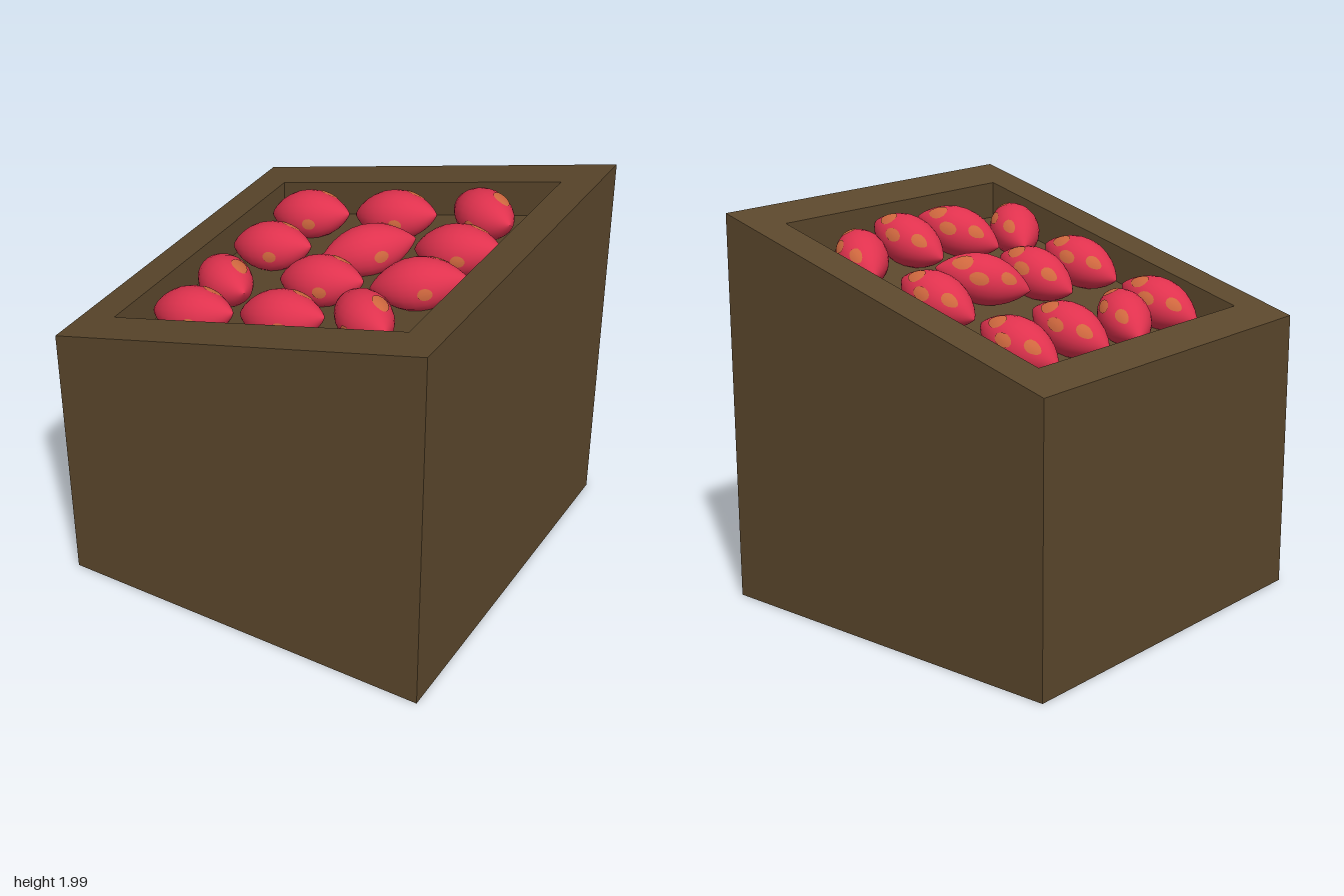
import * as THREE from 'three';

const SLOPE = 0.28, MID = 1.71, DEPTH = 0.19; // lid rise per x, height at x = 0, tray depth
const HALF = 0.242, RADIUS = 0.128;           // fruit half length and radius

const material = (name, color) => {
  const m = new THREE.MeshStandardMaterial({ color });
  m.name = name;
  return m;
};

const topY = (x) => MID + SLOPE * x;

// Fruit radius at u along its long axis: a lens with blunt tips
const fruitRadius = (u) => RADIUS * Math.pow(Math.max(0, 1 - (u / HALF) ** 2), 0.86);

function rect(shape, hx, hz) {
  shape.moveTo(-hx, -hz);
  shape.lineTo(hx, -hz);
  shape.lineTo(hx, hz);
  shape.lineTo(-hx, hz);
  shape.closePath();
  return shape;
}

// Move each vertex's height by a rule of (x, y)
function reshapeY(geometry, rule) {
  const p = geometry.attributes.position;
  for (let i = 0; i < p.count; i++) p.setY(i, rule(p.getX(i), p.getY(i)));
  geometry.computeVertexNormals();
  return geometry;
}

function fruitGeometry() {
  const profile = [];
  const n = 14;
  for (let i = 0; i <= n; i++) {
    const u = -HALF * Math.cos((Math.PI * i) / n);
    profile.push(new THREE.Vector2(i === 0 || i === n ? 0 : fruitRadius(u), u));
  }
  return new THREE.LatheGeometry(profile, 24).rotateZ(-Math.PI / 2);
}

// Round patch wrapped on the fruit skin; angle is measured from up towards +z
function spotGeometry(u0, angle, halfU, halfArc) {
  const g = new THREE.RingGeometry(0.001, 1, 14, 4);
  const p = g.attributes.position;
  const r0 = fruitRadius(u0);
  for (let i = 0; i < p.count; i++) {
    const u = u0 + p.getX(i) * halfU;
    const a = angle - (p.getY(i) * halfArc) / r0;
    const r = fruitRadius(u) + 0.003;
    p.setXYZ(i, u, r * Math.cos(a), r * Math.sin(a));
  }
  g.computeVertexNormals();
  return g;
}

export function createModel() {
  const model = new THREE.Group();
  model.name = 'fruitCrate';
  const wood = material('brown wood', 0x5b472c);
  const red = material('red skin', 0xe0324e);
  const orange = material('orange spot', 0xd2693f);

  const add = (parent, name, geometry, mat) => {
    const mesh = new THREE.Mesh(geometry, mat);
    mesh.name = name;
    parent.add(mesh);
    return mesh;
  };

  // Solid lower body, its sloping top is the tray floor
  const body = new THREE.BoxGeometry(2, 1, 1.96);
  add(model, 'crateBody', reshapeY(body, (x, y) => (y < 0 ? 0 : topY(x) - DEPTH)), wood);

  // Sloping rim around the tray
  const outline = rect(new THREE.Shape(), 1, 0.98);
  outline.holes.push(rect(new THREE.Path(), 0.8, 0.773));
  const rim = new THREE.ExtrudeGeometry(outline, { depth: DEPTH, bevelEnabled: false });
  rim.rotateX(-Math.PI / 2);
  add(model, 'crateRim', reshapeY(rim, (x, y) => topY(x) - DEPTH + y), wood);

  // Fruits lying on the slope: x, z, turn in degrees
  const tilt = Math.atan(SLOPE);
  const tray = new THREE.Group();
  tray.name = 'fruits';
  tray.position.y = MID - 0.077;
  tray.rotation.z = tilt;
  model.add(tray);

  const places = [
    [-0.495, -0.545, 0], [0.01, -0.545, 0], [0.495, -0.56, 31],
    [-0.495, -0.165, 0], [0.075, -0.145, -34], [0.555, -0.165, 0],
    [-0.525, 0.22, 33], [0.01, 0.19, 0], [0.535, 0.19, -15],
    [-0.495, 0.55, 0], [0.01, 0.55, 0], [0.44, 0.53, 36],
  ];
  const skin = fruitGeometry();
  const spots = [
    [0.11, -0.6, 0.052, 0.042],
    [-0.13, -0.85, 0.04, 0.03],
    [0.01, -1.2, 0.05, 0.032],
    [0.06, 1.6, 0.035, 0.03],
  ].map((s) => spotGeometry(...s));

  for (const [x, z, turn] of places) {
    const fruit = new THREE.Group();
    fruit.name = 'fruit';
    fruit.position.set(x / Math.cos(tilt), 0, z);
    fruit.rotation.y = -THREE.MathUtils.degToRad(turn);
    add(fruit, 'fruitSkin', skin, red);
    for (const spot of spots) add(fruit, 'fruitSpot', spot, orange);
    tray.add(fruit);
  }
  return model;
}
